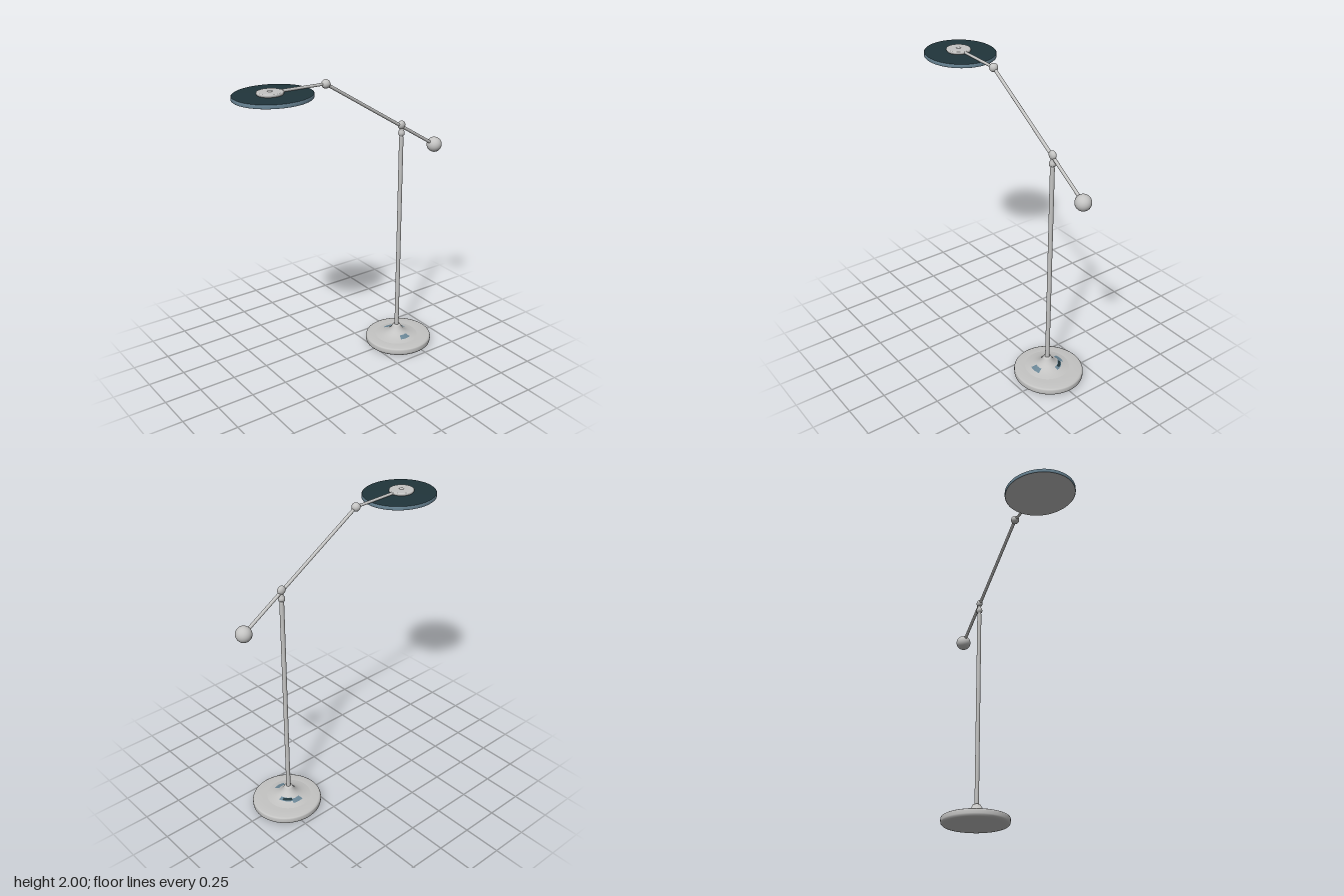
import * as THREE from 'three';

export function createModel() {
  const model = new THREE.Group();
  const mat = (name, color) => {
    const m = new THREE.MeshStandardMaterial({ color });
    m.name = name;
    return m;
  };
  const metal = mat('brushed grey', 0xc4c4c3);
  const teal = mat('dark teal', 0x20353b);
  const slate = mat('slate blue', 0x6b8797);

  const POLE_Z = -0.437;
  const add = (name, geometry, material, x, y, z) => {
    const mesh = new THREE.Mesh(geometry, material);
    mesh.name = name;
    mesh.position.set(x, y, z);
    model.add(mesh);
    return mesh;
  };
  const lathe = (pts, segs = 64, start = 0, length = Math.PI * 2) =>
    new THREE.LatheGeometry(pts.map(([r, y]) => new THREE.Vector2(r, y)), segs, start, length);
  const ball = (name, r, y, z) => add(name, new THREE.SphereGeometry(r, 32, 20), metal, 0, y, z);

  // Straight round rod in the x = 0 plane, between two [y, z] points
  const rod = (name, r, [y0, z0], [y1, z1]) => {
    const a = new THREE.Vector3(0, y0, z0), b = new THREE.Vector3(0, y1, z1);
    const dir = b.clone().sub(a);
    const mid = a.clone().add(b).multiplyScalar(0.5);
    const mesh = add(name, new THREE.CylinderGeometry(r, r, dir.length(), 20), metal, mid.x, mid.y, mid.z);
    mesh.quaternion.setFromUnitVectors(new THREE.Vector3(0, 1, 0), dir.normalize());
  };

  // Heavy round base with a softened rim
  const base = add('base', lathe([[0, 0], [0.2, 0], [0.2, 0], [0.217, 0.004], [0.225, 0.012], [0.227, 0.022],
    [0.227, 0.042], [0.224, 0.05], [0.214, 0.055], [0.16, 0.058], [0, 0.06]]), metal, 0, 0, -0.4525);
  base.scale.z = 1.02;

  // Flared foot sweeping up into the pole
  const flare = [[0.16, 0.056], [0.13, 0.061], [0.1, 0.068], [0.075, 0.078], [0.055, 0.091],
    [0.04, 0.107], [0.03, 0.124], [0.026, 0.133], [0.014, 0.136]];
  add('baseFlare', lathe(flare), metal, 0, 0, POLE_Z);

  // Control marks lying on the flare: radius range and start/end angle in degrees
  const heightAt = (r) => {
    const i = flare.findIndex(([fr]) => fr <= r);
    const [r0, y0] = flare[i - 1], [r1, y1] = flare[i];
    return y0 + (y1 - y0) * (r0 - r) / (r0 - r1);
  };
  const mark = (name, material, inner, outer, from, to, lift) => {
    const pts = [0, 0.25, 0.5, 0.75, 1].map((t) => {
      const r = outer + (inner - outer) * t;
      return [r, heightAt(r) + lift];
    });
    const d = Math.PI / 180;
    add(name, lathe(pts, 16, from * d, (to - from) * d), material, 0, 0, POLE_Z);
  };
  mark('rightMark', slate, 0.075, 0.11, 70, 112, 0.002);
  mark('leftMark', slate, 0.078, 0.11, 248, 288, 0.002);
  mark('backMark', slate, 0.07, 0.094, 188, 248, 0.002);
  mark('darkMark', teal, 0.073, 0.089, 204, 248, 0.003);

  // Upright pole with turned neck
  add('pole', lathe([[0.0145, 0.1], [0.0145, 1.53], [0.012, 1.535], [0.012, 1.542], [0.02, 1.547], [0.021, 1.56],
    [0.019, 1.572], [0.012, 1.582], [0.012, 1.61]], 24), metal, 0, 0, POLE_Z);

  // Pivot head
  const pivot = ball('pivot', 0.028, 1.615, -0.436);
  pivot.scale.x = 0.7;

  // Balanced arm, counterweight, elbow and head arm
  rod('balanceArm', 0.0105, [1.976, 0.155], [1.428, -0.72]);
  ball('counterweight', 0.051, 1.427, -0.723);
  ball('elbow', 0.028, 1.975, 0.153);
  rod('headArm', 0.009, [1.975, 0.153], [1.982, 0.5]);

  // Lamp head: rim, dark top face, pale underside
  const headZ = 0.5225, stretch = 1.1;
  const headPart = (name, pts, material) => {
    add(name, lathe(pts, 72), material, 0, 0, headZ).scale.z = stretch;
  };
  headPart('headRim', [[0.222, 1.947], [0.225, 1.95], [0.225, 1.968], [0.222, 1.971]], slate);
  headPart('headTop', [[0.222, 1.971], [0, 1.973]], teal);
  headPart('headUnderside', [[0, 1.943], [0.07, 1.943], [0.076, 1.945], [0.222, 1.947]], metal);

  // Cap on the lamp head
  const cap = add('headCap', lathe([[0.07, 1.968], [0.077, 1.976], [0.078, 1.983], [0.076, 1.988], [0.071, 1.99],
    [0.071, 1.99], [0, 1.991]], 48), metal, 0, 0, 0.541);
  cap.scale.z = 1.06;
  const button = add('capButton', new THREE.SphereGeometry(0.016, 24, 12), metal, 0, 1.99, 0.541);
  button.scale.y = 0.4;

  return model;
}
